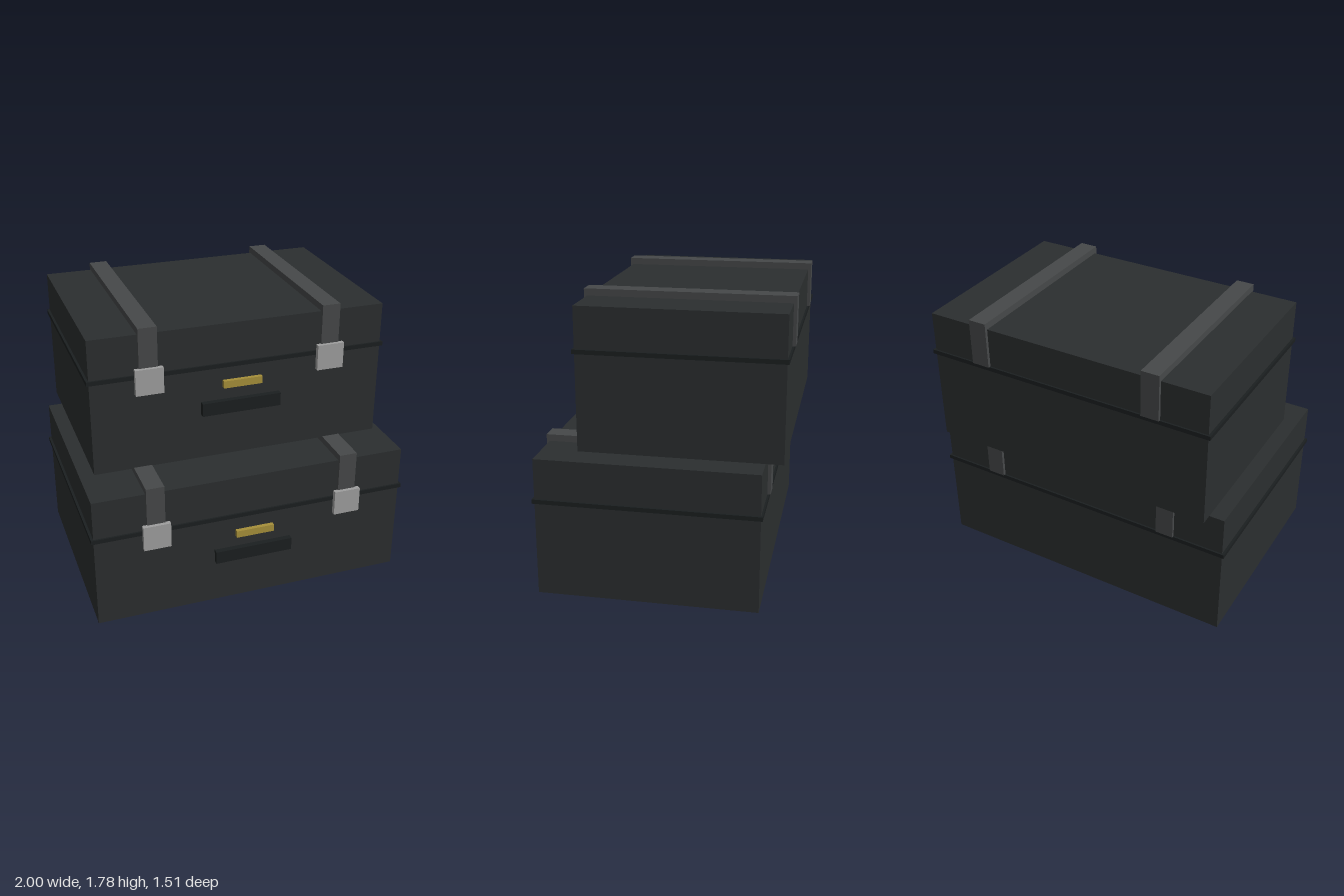
import * as THREE from 'three';

const paint = (color) => new THREE.MeshStandardMaterial({ color });
const leather = paint(0x2b2e2f);
const trim = paint(0x1b1f20);
const strapMat = paint(0x464849);
const steel = paint(0x9f9f9f);
const brass = paint(0xa68f3a);

// Box given by its limits on each axis
function box(name, material, [x0, x1], [y0, y1], [z0, z1]) {
  const mesh = new THREE.Mesh(new THREE.BoxGeometry(x1 - x0, y1 - y0, z1 - z0), material);
  mesh.position.set((x0 + x1) / 2, (y0 + y1) / 2, (z0 + z1) / 2);
  mesh.name = name;
  return mesh;
}

// One suitcase standing on its own y = 0
function suitcase(name, halfWidth, back, front, strapX) {
  const group = new THREE.Group();
  group.name = name;
  const height = 0.85, seam = 0.592, wide = [-halfWidth, halfWidth];

  // Shell and the rim between body and lid
  group.add(
    box('body', leather, wide, [0, seam], [back, front]),
    box('lid', leather, wide, [seam, height], [back, front]),
    box('rim', trim, [-halfWidth - 0.015, halfWidth + 0.015], [seam - 0.013, seam + 0.013], [back - 0.011, front + 0.011]),
  );

  // Straps over the lid, each with a clasp at the front
  for (const [side, x] of [['right', -strapX], ['left', strapX]]) {
    group.add(
      box(side + 'Strap', strapMat, [x - 0.056, x + 0.056], [0.605, 0.891], [back - 0.019, front + 0.019]),
      box(side + 'Clasp', steel, [x - 0.084, x + 0.084], [0.488, 0.648], [front + 0.012, front + 0.041]),
    );
  }

  // Name plate and handle
  group.add(
    box('plate', brass, [-0.12, 0.12], [0.465, 0.51], [front + 0.028, front + 0.054]),
    box('handle', trim, [-0.246, 0.246], [0.293, 0.375], [front + 0.006, front + 0.04]),
  );
  return group;
}

export function createModel() {
  const model = new THREE.Group();
  model.name = 'stackedSuitcases';
  const lower = suitcase('lowerSuitcase', 0.985, -0.622, 0.7, 0.611);
  const upper = suitcase('upperSuitcase', 0.907, -0.735, 0.453, 0.562);
  upper.position.y = 0.887;
  model.add(lower, upper);
  return model;
}
